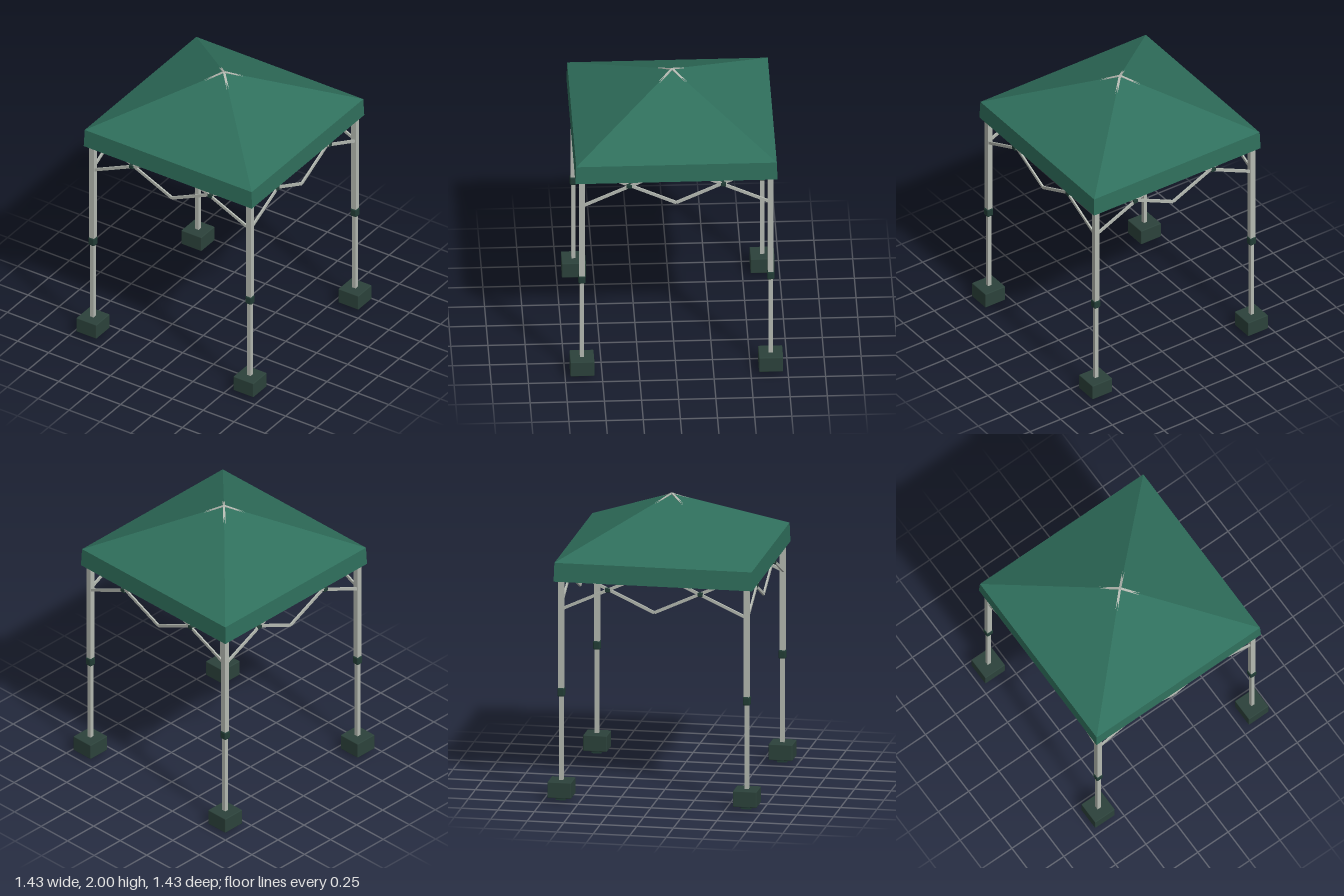
import * as THREE from 'three';
import { RoundedBoxGeometry } from 'three/addons/geometries/RoundedBoxGeometry.js';

export function createModel() {
  const mat = (name, color, opts = {}) => {
    const m = new THREE.MeshStandardMaterial({ color, ...opts });
    m.name = name;
    return m;
  };
  const fabric = mat('green fabric', 0x2f6f5c, { side: THREE.DoubleSide, flatShading: true });
  const metal = mat('pale metal', 0xb4b9b1);
  const weightMat = mat('dark weight', 0x2c423b);
  const plastic = mat('dark plastic', 0x223d36);

  const model = new THREE.Group();
  model.name = 'canopyTent';

  const add = (parent, name, geo, material, x = 0, y = 0, z = 0) => {
    const m = new THREE.Mesh(geo, material);
    m.name = name;
    m.position.set(x, y, z);
    parent.add(m);
    return m;
  };
  // Square bar between two points
  const beam = (parent, name, a, b, w, h, material) => {
    const p = new THREE.Vector3(...a), q = new THREE.Vector3(...b);
    const m = new THREE.Mesh(new THREE.BoxGeometry(w, h, p.distanceTo(q)), material);
    m.name = name;
    m.position.copy(p).add(q).multiplyScalar(0.5);
    m.lookAt(q);
    parent.add(m);
  };

  // Fabric roof and valance, four sided and open below
  const R2 = Math.SQRT2, EAVE = 1.65, APEX = 1.995, HEM = 1.52;
  const roof = new THREE.ConeGeometry(0.675 * R2, APEX - EAVE, 4, 1, true).rotateY(Math.PI / 4);
  add(model, 'roof', roof, fabric, 0, (APEX + EAVE) / 2, 0);
  const valance = new THREE.CylinderGeometry(0.675 * R2, 0.68 * R2, EAVE - HEM, 4, 1, true).rotateY(Math.PI / 4);
  add(model, 'valance', valance, fabric, 0, (EAVE + HEM) / 2, 0);

  const L = 0.635;

  // Telescopic legs with collars, weights, feet and roof rafters
  for (const sx of [-1, 1]) for (const sz of [-1, 1]) {
    const leg = new THREE.Group();
    leg.name = 'leg';
    leg.position.set(sx * L, 0, sz * L);
    model.add(leg);
    add(leg, 'lowerTube', new THREE.BoxGeometry(0.028, 0.75, 0.028), metal, 0, 0.395, 0);
    add(leg, 'upperTube', new THREE.BoxGeometry(0.038, 0.87, 0.038), metal, 0, 1.195, 0);
    add(leg, 'collar', new RoundedBoxGeometry(0.05, 0.06, 0.05, 2, 0.01), plastic, 0, 0.747, 0);
    add(leg, 'weight', new RoundedBoxGeometry(0.163, 0.112, 0.163, 2, 0.006), weightMat, 0, 0.08, 0);
    add(leg, 'foot', new THREE.BoxGeometry(0.066, 0.03, 0.066), plastic, 0, 0.015, 0);
    beam(model, 'rafter', [sx * 0.625, 1.63, sz * 0.625], [0, 1.99, 0], 0.016, 0.016, metal);
  }

  // Scissor trusses, two crossings on each side
  for (let i = 0; i < 4; i++) {
    const side = new THREE.Group();
    side.name = 'scissorTruss';
    side.rotation.y = i * Math.PI / 2;
    model.add(side);
    for (const s of [-1, 1]) {
      beam(side, 'risingBar', [s * 0.63, 1.325, L + 0.007], [0, 1.615, L + 0.007], 0.012, 0.02, metal);
      beam(side, 'fallingBar', [s * 0.63, 1.615, L - 0.007], [0, 1.325, L - 0.007], 0.012, 0.02, metal);
      add(side, 'pivot', new RoundedBoxGeometry(0.036, 0.028, 0.036, 2, 0.005), plastic, s * 0.317, 1.47, L);
    }
  }
  return model;
}
